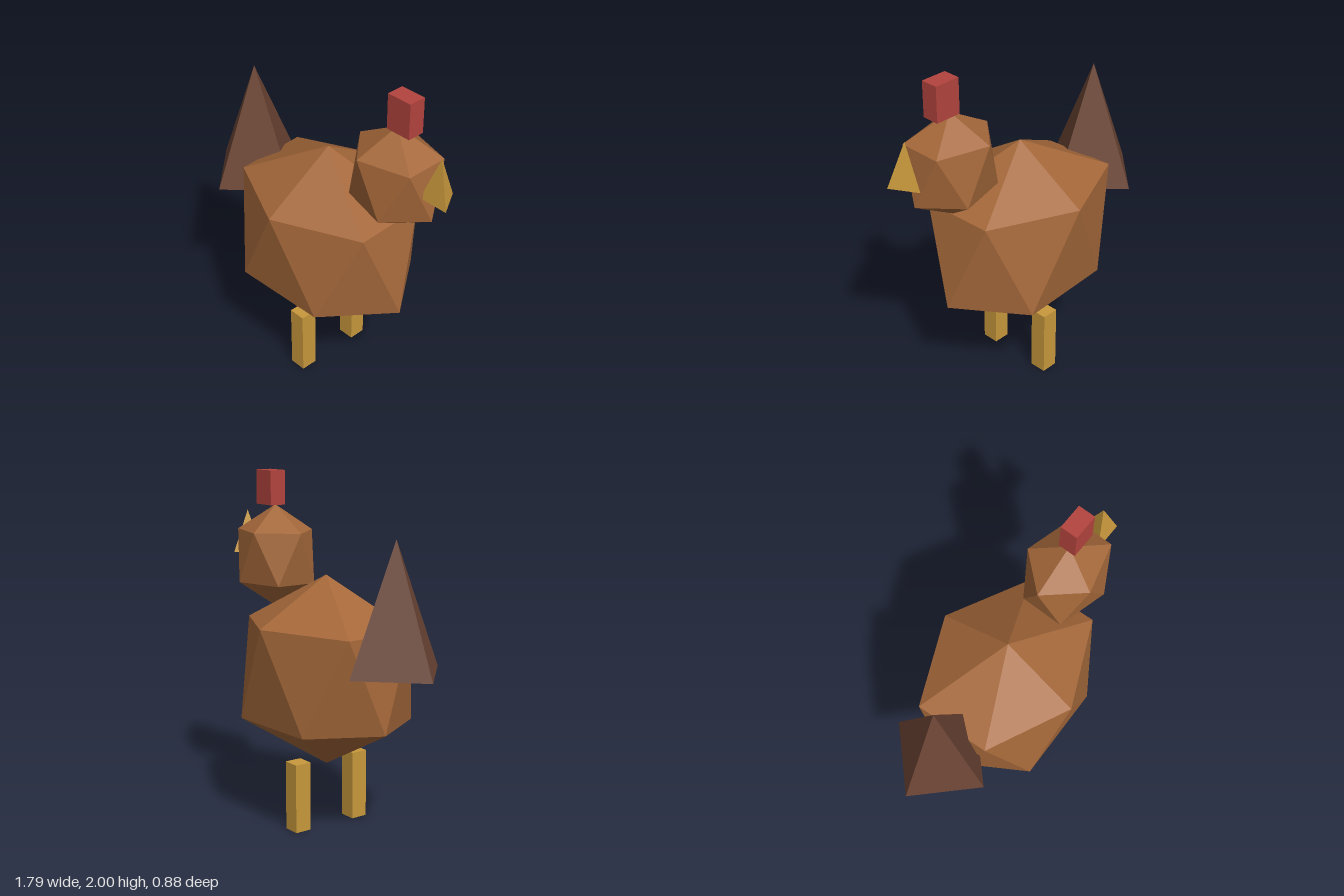
import * as THREE from 'three';

const flat = (name, color) => {
  const m = new THREE.MeshStandardMaterial({ color, flatShading: true, side: THREE.DoubleSide });
  m.name = name;
  return m;
};

// Faceted ball: two staggered rings of [x, y, z] closed by a top and a bottom point
function facetedBall(top, upper, lower, bottom) {
  const n = upper.length, pos = [];
  for (let i = 0; i < n; i++) {
    const j = (i + 1) % n;
    pos.push(
      ...top, ...upper[j], ...upper[i],
      ...upper[i], ...lower[j], ...lower[i],
      ...lower[j], ...upper[i], ...upper[j],
      ...bottom, ...lower[i], ...lower[j],
    );
  }
  const g = new THREE.BufferGeometry();
  g.setAttribute('position', new THREE.Float32BufferAttribute(pos, 3));
  g.computeVertexNormals();
  return g;
}

// Box without its underside
function openBox(w, h, d) {
  const g = new THREE.BoxGeometry(w, h, d);
  const idx = Array.from(g.index.array);
  idx.splice(18, 6);
  g.setIndex(idx);
  g.clearGroups();
  return g;
}

export function createModel() {
  const model = new THREE.Group();
  model.name = 'bird';
  const feather = flat('feather brown', 0xa5683a);
  const dark = flat('dark tail brown', 0x6a4433);
  const gold = flat('horn gold', 0xc8983c);
  const red = flat('comb red', 0xb3443e);

  const add = (name, geometry, material, x = 0, y = 0, z = 0) => {
    const mesh = new THREE.Mesh(geometry, material);
    mesh.name = name;
    mesh.position.set(x, y, z);
    model.add(mesh);
    return mesh;
  };

  // Body: slightly irregular six-sided ball
  add('body', facetedBall(
    [0, 1.45, 0],
    [[0.489, 1.177, 0.214], [0, 1.177, 0.435], [-0.473, 1.177, 0.214],
      [-0.498, 1.18, -0.22], [0, 1.188, -0.443], [0.472, 1.172, -0.208]],
    [[0.572, 0.622, 0], [0.283, 0.63, 0.374], [-0.288, 0.622, 0.389],
      [-0.533, 0.642, 0], [-0.27, 0.625, -0.357], [0.297, 0.622, -0.382]],
    [0, 0.357, 0.003],
  ), feather);

  // Head: narrow five-sided ball
  const ring = (y, start) => Array.from({ length: 5 }, (_, i) => {
    const a = start + i * Math.PI * 0.4;
    return [0.26 * Math.cos(a), y, 0.214 * Math.sin(a)];
  });
  add('head', facetedBall([0, 0.3, 0], ring(0.15, Math.PI / 5), ring(-0.15, 0), [0, -0.3, 0]),
    feather, 0.502, 1.503, 0.003);

  // Comb, beak and tail
  add('comb', openBox(0.15, 0.2, 0.1), red, 0.552, 1.9, 0.005);
  add('beak', new THREE.ConeGeometry(0.1, 0.25, 3, 1, true), gold, 0.802, 1.626, 0.003)
    .rotation.y = Math.PI;
  add('tail', new THREE.ConeGeometry(0.3, 0.7, 4, 1, true), dark, -0.598, 1.352, 0.003);

  // Legs
  for (const [name, side] of [['frontLeg', 1], ['backLeg', -1]]) {
    add(name, openBox(0.1, 0.4, 0.1), gold, 0.002, 0.2, side * 0.2 + 0.005);
  }
  return model;
}
